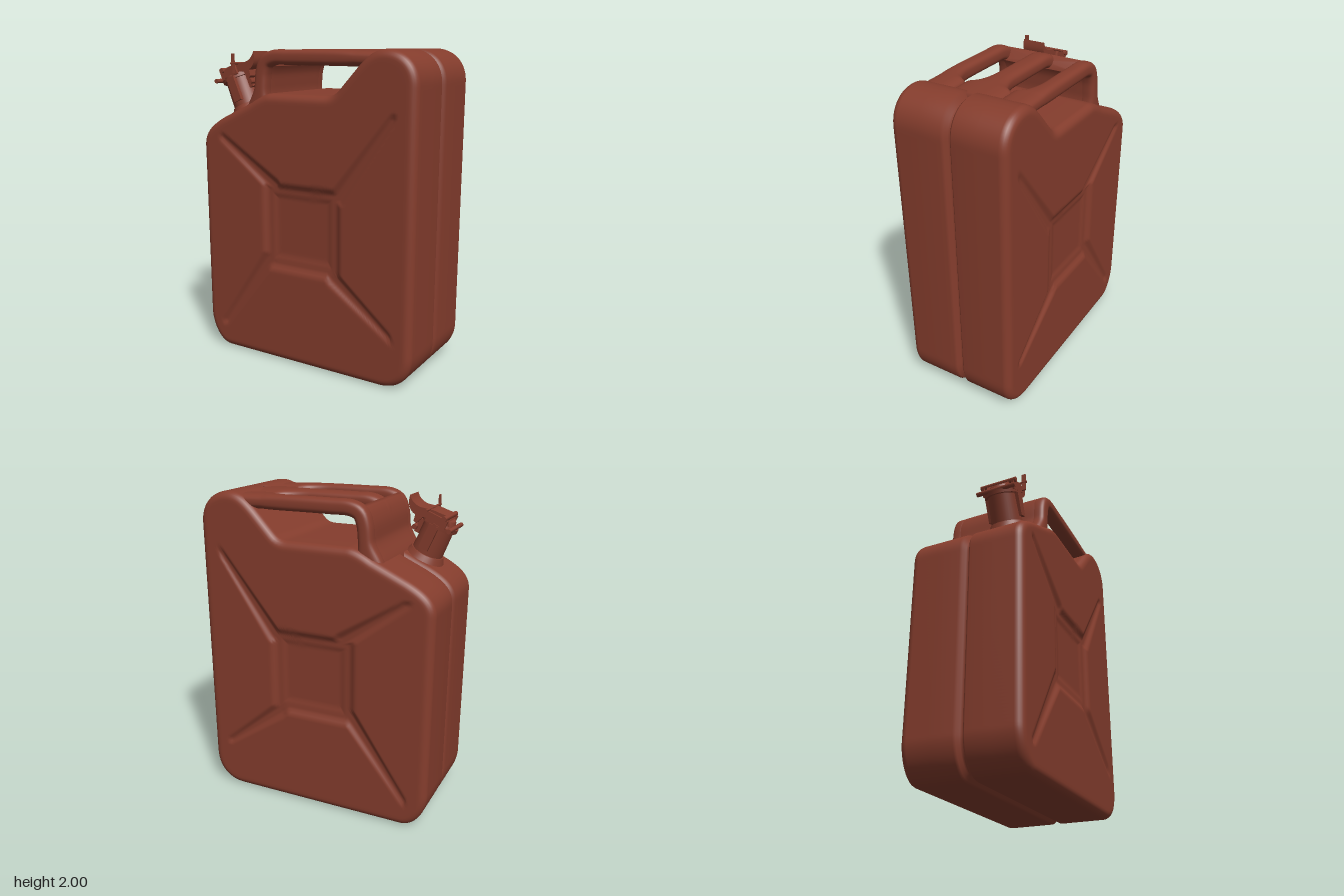
import * as THREE from 'three';
import { toCreasedNormals } from 'three/addons/utils/BufferGeometryUtils.js';

const clamp = THREE.MathUtils.clamp;
const smooth = THREE.MathUtils.smoothstep;
const paint = new THREE.MeshStandardMaterial({ color: 0x853d2d });
paint.name = 'red brown paint';

function add(parent, name, geometry, x = 0, y = 0, z = 0) {
  const mesh = new THREE.Mesh(geometry, paint);
  mesh.name = name;
  mesh.position.set(x, y, z);
  parent.add(mesh);
  return mesh;
}

// Skin a list of closed rings (arrays of Vector3 with equal counts)
function loft(rings) {
  const n = rings[0].length, pos = [], idx = [];
  rings.forEach((ring) => ring.forEach((p) => pos.push(p.x, p.y, p.z)));
  for (let i = 0; i < rings.length - 1; i++) {
    for (let j = 0; j < n; j++) {
      const k = (j + 1) % n;
      const a = i * n + j, b = i * n + k, c = b + n, d = a + n;
      idx.push(a, b, c, a, c, d);
    }
  }
  const g = new THREE.BufferGeometry();
  g.setAttribute('position', new THREE.Float32BufferAttribute(pos, 3));
  g.setIndex(idx);
  g.computeVertexNormals();
  return g;
}

// Can silhouette, counter-clockwise from the bottom left
function outline(count) {
  const s = new THREE.Shape();
  s.moveTo(-0.6, 0);
  s.lineTo(0.55, 0);
  s.bezierCurveTo(0.68, 0, 0.76, 0.09, 0.76, 0.22);
  s.lineTo(0.765, 1.8);
  s.bezierCurveTo(0.765, 1.92, 0.68, 2, 0.56, 2);
  s.bezierCurveTo(0.48, 2, 0.43, 1.95, 0.38, 1.9);
  s.lineTo(0.25, 1.76);
  s.quadraticCurveTo(0.22, 1.73, 0.17, 1.73);
  s.lineTo(-0.24, 1.73);
  s.quadraticCurveTo(-0.3, 1.72, -0.38, 1.67);
  s.lineTo(-0.6, 1.57);
  s.bezierCurveTo(-0.7, 1.52, -0.768, 1.47, -0.768, 1.38);
  s.lineTo(-0.765, 0.22);
  s.bezierCurveTo(-0.76, 0.13, -0.7, 0, -0.6, 0);
  return s.getSpacedPoints(count).slice(0, count);
}

// Pressed relief: tapering diagonal channels around a sunken centre
const channels = [
  [-0.2, 1.16, -0.6, 1.44], [0.26, 1.13, 0.62, 1.62],
  [-0.25, 0.68, -0.62, 0.18], [0.23, 0.63, 0.62, 0.33],
];
function boxMask(x, y, x0, x1, y0, y1, soft) {
  const d = Math.min(x - x0, x1 - x, y - y0, y1 - y);
  return smooth(d, -soft, soft);
}
function relief(x, y) {
  let m = boxMask(x, y, -0.27, 0.27, 0.63, 1.165, 0.025);
  for (const [ax, ay, bx, by] of channels) {
    const dx = bx - ax, dy = by - ay;
    const t = clamp(((x - ax) * dx + (y - ay) * dy) / (dx * dx + dy * dy), 0, 1);
    const dist = Math.hypot(x - ax - dx * t, y - ay - dy * t);
    const width = 0.065 - 0.035 * t;
    m = Math.max(m, (1 - smooth(dist, width * 0.2, width)) * (1 - 0.45 * t));
  }
  return -0.022 * m - 0.008 * boxMask(x, y, -0.2, 0.2, 0.7, 1.1, 0.02);
}

function bodyGeometry() {
  const pts = outline(320), n = pts.length, cy = 0.95, half = 0.372, r = 0.05;
  const normals = pts.map((p, i) => {
    const t = pts[(i + 1) % n].clone().sub(pts[(i + n - 1) % n]).normalize();
    return new THREE.Vector2(t.y, -t.x);
  });
  // one ring at depth z: inset from the outline, then scaled to the centre
  const ring = (z, inset, scale = 1, groove = false) => pts.map((p, i) => {
    const covered = groove && p.y > 1.6 && p.x > -0.36 && p.x < 0.5;
    const d = covered ? 0 : inset;
    const x = (p.x - normals[i].x * d) * scale;
    const y = cy + (p.y - normals[i].y * d - cy) * scale;
    const dz = scale < 1 ? relief(x, y) : 0;
    return new THREE.Vector3(x, y, z + Math.sign(z) * dz);
  });
  const side = (s) => {
    const list = [ring(0.012 * s, 0.04, 1, true), ring(0.022 * s, 0.012, 1, true),
      ring(0.036 * s, 0, 1, true), ring(0.18 * s, 0)];
    for (let k = 0; k <= 6; k++) {
      const a = (k / 6) * Math.PI / 2;
      list.push(ring(s * (half - r + r * Math.sin(a)), r * (1 - Math.cos(a))));
    }
    for (let k = 1; k <= 50; k++) list.push(ring(s * half, r, 1 - k / 50));
    return list;
  };
  return loft([...side(-1).reverse(), ring(0, 0.045, 1, true), ...side(1)]);
}

// Sweep a rounded section along a path in the XY plane; span(x) gives [zMin, zMax]
function sweep(points, steps, power, span) {
  const curve = new THREE.CatmullRomCurve3(points.map(([x, y]) => new THREE.Vector3(x, y, 0)));
  const rings = [], seg = 36;
  const soft = (v) => Math.sign(v) * Math.abs(v) ** (2 / power);
  for (let i = 0; i <= steps; i++) {
    const c = curve.getPointAt(i / steps), t = curve.getTangentAt(i / steps);
    const [z0, z1] = span(c.x);
    const h = 0.046 + 0.045 * (1 - smooth(c.y, 1.6, 1.77));
    const w = (z1 - z0) / 2, mid = (z0 + z1) / 2;
    const ring = [];
    for (let j = 0; j < seg; j++) {
      const a = (j / seg) * Math.PI * 2, u = soft(Math.cos(a)) * h;
      ring.push(new THREE.Vector3(c.x - t.y * u, c.y + t.x * u, mid + soft(Math.sin(a)) * w));
    }
    const cap = ring.map(() => new THREE.Vector3(c.x, c.y, mid));
    if (i === 0) rings.push(cap);
    rings.push(ring);
    if (i === steps) rings.push(cap);
  }
  return loft(rings);
}

function addHandles(group) {
  const leg = [[-0.35, 1.6], [-0.325, 1.75], [-0.312, 1.86], [-0.285, 1.92]];
  const bar = [...leg, [-0.23, 1.945], [-0.1, 1.948], [0.3, 1.946], [0.53, 1.94]];
  // bars widen until they meet, giving each opening a rounded end
  const flare = (x) => 0.09 * (1 - Math.sqrt(1 - clamp((x - 0.15) / 0.19, 0, 1) ** 2));
  add(group, 'middleHandle', sweep(bar, 70, 2.8, (x) => [-0.066 - flare(x), 0.066 + flare(x)]));
  add(group, 'frontHandle', sweep(bar, 70, 2.8, (x) => [0.243 - flare(x), 0.343]));
  add(group, 'backHandle', sweep(bar, 70, 2.8, (x) => [-0.343, -0.243 + flare(x)]));
  add(group, 'handleBridge', sweep([...leg, [-0.27, 1.932]], 24, 10, () => [-0.31, 0.31]));
}

function addSpout(group) {
  const spout = new THREE.Group();
  spout.name = 'spout';
  spout.position.set(-0.53, 1.62, 0.165);
  spout.rotation.z = 0.41;
  group.add(spout);
  const cyl = (r0, r1, h) => toCreasedNormals(new THREE.CylinderGeometry(r0, r1, h, 32), 0.6);
  const rod = (name, r, len, x, y) => {
    add(spout, name, cyl(r, r, len), x, y, 0).rotation.x = Math.PI / 2;
  };
  add(spout, 'neckCollar', cyl(0.105, 0.125, 0.04), 0, 0, 0);
  add(spout, 'neck', cyl(0.092, 0.1, 0.24), 0, 0.09, 0);
  add(spout, 'neckRim', cyl(0.112, 0.112, 0.025), 0, 0.208, 0);
  add(spout, 'cap', cyl(0.075, 0.095, 0.04), 0, 0.238, 0);

  // locking lever with an upturned thumb hook
  const s = new THREE.Shape();
  s.moveTo(-0.07, 0.235);
  s.lineTo(0.1, 0.215);
  s.lineTo(0.125, 0.16);
  s.lineTo(0.145, 0.165);
  s.lineTo(0.15, 0.205);
  s.quadraticCurveTo(0.215, 0.21, 0.23, 0.295);
  s.quadraticCurveTo(0.19, 0.25, 0.13, 0.262);
  s.lineTo(0.06, 0.28);
  s.lineTo(-0.03, 0.287);
  const lever = new THREE.ExtrudeGeometry(s, { depth: 0.15, bevelEnabled: false, curveSegments: 8 });
  lever.translate(0, 0, -0.075);
  add(spout, 'lockingLever', toCreasedNormals(lever, 0.5));

  // side straps, hinge rods and latch
  for (const z of [-0.1, 0.1]) {
    add(spout, 'sideStrap', new THREE.BoxGeometry(0.06, 0.16, 0.025), 0.01, 0.13, z);
    add(spout, 'leverCheek', new THREE.BoxGeometry(0.13, 0.06, 0.015), 0.01, 0.24, z);
  }
  rod('rearHinge', 0.014, 0.26, -0.09, 0.225);
  rod('topHinge', 0.016, 0.24, -0.03, 0.272);
  rod('latchRod', 0.016, 0.15, 0.125, 0.135);
  add(spout, 'latchPlate', new THREE.BoxGeometry(0.03, 0.09, 0.1), 0.105, 0.15, 0);
  const pin = add(spout, 'safetyPin', new THREE.BoxGeometry(0.01, 0.12, 0.025), 0.085, 0.275, 0.125);
  pin.rotation.z = -0.41;
  rod('pinBar', 0.007, 0.29, 0.085, 0.275);
}

export function createModel() {
  const group = new THREE.Group();
  group.name = 'fuelCan';
  add(group, 'body', bodyGeometry());
  addHandles(group);
  addSpout(group);
  return group;
}
